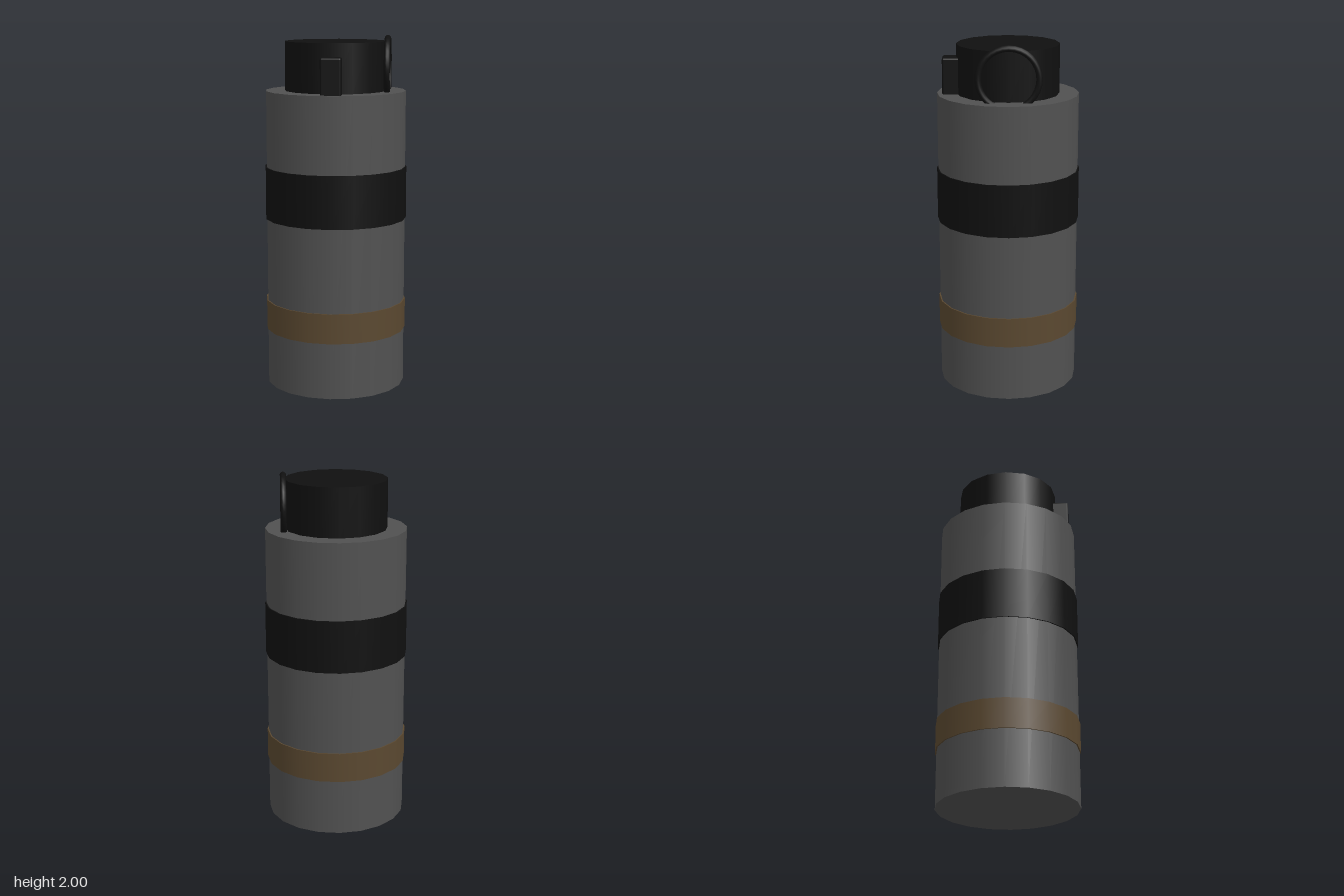
import * as THREE from 'three';
import { RoundedBoxGeometry } from 'three/addons/geometries/RoundedBoxGeometry.js';

export function createModel() {
  const model = new THREE.Group();
  model.name = 'canister';

  const mat = (name, color) => {
    const m = new THREE.MeshStandardMaterial({ color });
    m.name = name;
    return m;
  };
  const grey = mat('bodyGrey', 0x515151);
  const black = mat('fittingBlack', 0x101010);
  const brown = mat('bandBrown', 0x5a4830);

  const add = (name, geometry, material, x, y, z) => {
    const mesh = new THREE.Mesh(geometry, material);
    mesh.name = name;
    mesh.position.set(x, y, z);
    model.add(mesh);
    return mesh;
  };
  // Upright drum between two heights
  const drum = (name, radius, y0, y1, sides, material) =>
    add(name, new THREE.CylinderGeometry(radius, radius, y1 - y0, sides), material, 0, (y0 + y1) / 2, 0);

  // Body with its two raised bands
  drum('body', 0.396, 0, 1.69, 20, grey);
  drum('lowerBand', 0.403, 0.32, 0.49, 20, brown);
  drum('upperBand', 0.403, 0.965, 1.26, 20, black);

  // Fuze cap on top
  drum('cap', 0.287, 1.68, 1.965, 16, black);

  // Safety catch block at the front of the cap
  add('catchBlock', new RoundedBoxGeometry(0.114, 0.21, 0.14, 2, 0.01), black, 0, 1.785, 0.295);

  // Pull ring on the left side, its foot sunk into the body
  const ring = add('pullRing', new THREE.TorusGeometry(0.165, 0.0175, 10, 32), black, 0.293, 1.8175, 0);
  ring.rotation.y = Math.PI / 2;

  return model;
}
